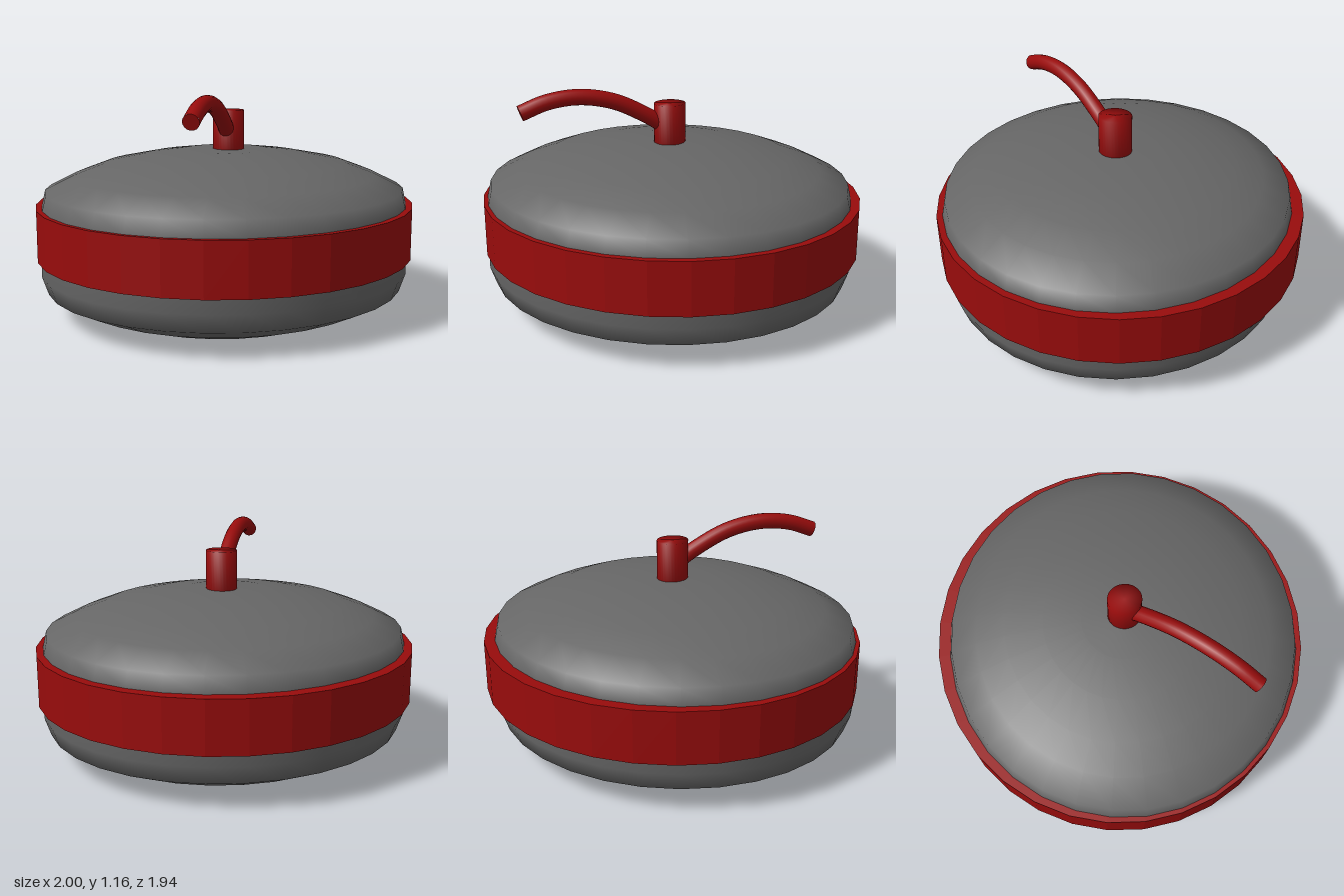
import * as THREE from 'three';

const RED = 0x980c0c, STONE = 0x666666;

function part(name, geometry, color, flatShading = false) {
  const mesh = new THREE.Mesh(geometry, new THREE.MeshStandardMaterial({ color, flatShading }));
  mesh.name = name;
  return mesh;
}

// Surface of revolution from [radius, height] pairs, listed bottom to top
function lathe(pairs, sides) {
  return new THREE.LatheGeometry(pairs.map(([r, y]) => new THREE.Vector2(r, y)), sides);
}

export function createModel() {
  const model = new THREE.Group();
  model.name = 'curlingStone';

  // Stone: flat base, rounded flanks, shallow dome; slightly oval in plan
  const stone = part('stone', lathe([
    [0, 0], [0.4, 0.003], [0.64, 0.008], [0.8, 0.065], [0.947, 0.135], [0.979, 0.228],
    [0.979, 0.43], [0.968, 0.565], [0.948, 0.65], [0.8, 0.722], [0.64, 0.781],
    [0.43, 0.822], [0.225, 0.849], [0, 0.853],
  ], 32), STONE);
  stone.scale.z = 0.956;
  stone.position.set(-0.008, 0, 0.016);
  model.add(stone);

  // Faceted band around the widest part
  const band = part('band', new THREE.CylinderGeometry(1, 1, 0.268, 32), RED, true);
  band.scale.z = 0.97;
  band.position.y = 0.434;
  model.add(band);

  // Upright post on top, softly shaded over its rim
  const post = part('handlePost', lathe([[0, 0.82], [0.08, 0.82], [0.08, 1.055], [0, 1.055]], 32), RED);
  post.scale.z = 1.08;
  post.position.set(0.007, 0, 0.025);
  model.add(post);

  // Arched grip reaching out to the front right
  const handle = new THREE.Group();
  handle.name = 'handle';
  const path = new THREE.CatmullRomCurve3([
    [0, 0.925, 0.035], [-0.075, 1.0, 0.122], [-0.19, 1.085, 0.25],
    [-0.31, 1.12, 0.382], [-0.42, 1.105, 0.505], [-0.51, 1.058, 0.604],
  ].map((p) => new THREE.Vector3(...p)));
  handle.add(part('grip', new THREE.TubeGeometry(path, 28, 0.041, 16), RED));

  // Flat discs closing both ends of the grip
  for (const [name, t, sign] of [['gripInnerEnd', 0, -1], ['gripOuterEnd', 1, 1]]) {
    const cap = part(name, new THREE.CircleGeometry(0.041, 16), RED);
    cap.position.copy(path.getPointAt(t));
    cap.quaternion.setFromUnitVectors(
      new THREE.Vector3(0, 0, 1), path.getTangentAt(t).multiplyScalar(sign));
    handle.add(cap);
  }
  model.add(handle);

  return model;
}
